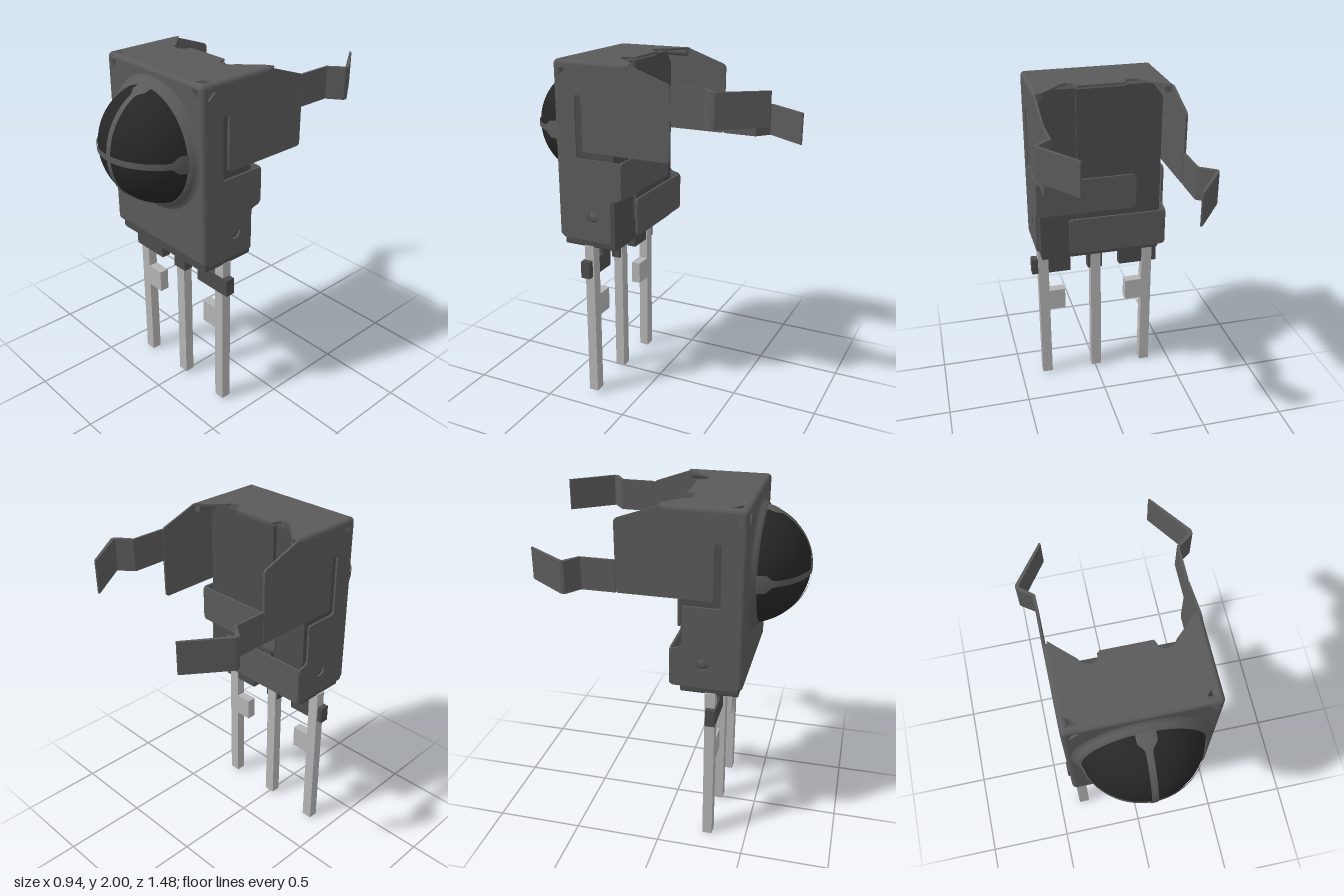
import * as THREE from 'three';

const mat = (color) => new THREE.MeshStandardMaterial({ color, side: THREE.DoubleSide });
const T = 0.012; // sheet thickness

// Closed outline with softened corners
function outline(pts, r = 0) {
  const P = pts.map(([x, y]) => new THREE.Vector2(x, y));
  const s = new THREE.Shape();
  P.forEach((p, i) => {
    const a = P[(i + P.length - 1) % P.length], b = P[(i + 1) % P.length];
    const toward = (q) => p.clone().lerp(q, Math.min(r / p.distanceTo(q), 0.45));
    const p0 = toward(a), p1 = toward(b);
    if (i === 0) s.moveTo(p0.x, p0.y); else s.lineTo(p0.x, p0.y);
    if (r) s.quadraticCurveTo(p.x, p.y, p1.x, p1.y);
  });
  s.closePath();
  return s;
}

// Small three-cornered opening with a curved inner side
function cornerHole(a, b, sa, sb, L = 0.06) {
  const h = new THREE.Path();
  h.moveTo(a, b);
  h.lineTo(a - sa * L, b);
  h.quadraticCurveTo(a - sa * L * 0.7, b - sb * L * 0.7, a, b - sb * L);
  h.closePath();
  return h;
}

const extrude = (shape, depth) =>
  new THREE.ExtrudeGeometry(shape, { depth, bevelEnabled: false, curveSegments: 5 });

export function createModel() {
  const root = new THREE.Group();
  const caseMat = mat(0x5a5a5a), bodyMat = mat(0x4c4c4c), domeMat = mat(0x262626), leadMat = mat(0xb4b4b4);

  const add = (name, geo, material = caseMat, parent = root) => {
    const m = new THREE.Mesh(geo, material);
    m.name = name;
    parent.add(m);
    return m;
  };
  // Box given by its extents
  const box = (name, x0, x1, y0, y1, z0, z1, material, parent) =>
    add(name, new THREE.BoxGeometry(x1 - x0, y1 - y0, z1 - z0)
      .translate((x0 + x1) / 2, (y0 + y1) / 2, (z0 + z1) / 2), material, parent);

  // Inner moulded body with chamfered upper corners
  const body = extrude(outline([[-0.36, 0.95], [0.36, 0.95], [0.36, 1.9], [0.3, 1.98], [-0.3, 1.98], [-0.36, 1.9]], 0.015), 0.32);
  add('body', body.translate(0, 0, 0.103), bodyMat);
  box('bodyBackRib', -0.14, 0.14, 1.08, 1.98, 0.08, 0.11, bodyMat);

  // Shield
  const shield = new THREE.Group();
  shield.name = 'shield';
  root.add(shield);

  // Front panel
  const front = outline([[-0.36, 1.025], [0.36, 1.025], [0.36, 1.975], [-0.36, 1.975]]);
  for (const s of [-1, 1]) front.holes.push(cornerHole(s * 0.362 - s * 0.004, 1.973, s, 1));
  add('frontPanel', extrude(front, T).translate(0, 0, 0.45 - T), caseMat, shield);

  // Top panel, tapered at the rear with two relief notches
  const half = [[0.36, 0.425], [0.36, -0.02], [0.235, 0.1], [0.222, 0.125], [0.18, 0.138], [0.15, 0.125], [0.14, 0.1], [0.132, 0.08]];
  const top = outline([...half, ...half.map(([x, z]) => [-x, z]).reverse()].map(([x, z]) => [x, -z]));
  for (const s of [-1, 1]) top.holes.push(cornerHole(s * 0.358, -0.423, s, -1));
  add('topPanel', extrude(top, T).rotateX(-Math.PI / 2).translate(0, 2 - T, 0), caseMat, shield);

  // Rounded bends joining the panels
  const R = 0.025;
  const bend = (len) => new THREE.CylinderGeometry(R, R, len, 14);
  for (const y of [1.025, 1.975])
    add('frontBend', bend(0.72).rotateZ(Math.PI / 2).translate(0, y, 0.425), caseMat, shield);
  for (const s of [-1, 1]) {
    add('cornerBend', bend(0.95).translate(s * 0.36, 1.5, 0.425), caseMat, shield);
    add('topBend', bend(0.43).rotateX(Math.PI / 2).translate(s * 0.36, 1.975, 0.21), caseMat, shield);
    for (const y of [1.025, 1.975])
      add('bendCorner', new THREE.SphereGeometry(R, 14, 10).translate(s * 0.36, y, 0.425), caseMat, shield);
  }

  // Side panels with an L-shaped slot; the lower flange differs per side
  const upper = [[0.425, 1.0], [0.425, 1.975], [0.03, 1.975], [0, 1.995], [-0.24, 1.91], [-0.24, 1.51],
    [0.28, 1.51], [0.28, 1.82], [0.32, 1.82], [0.32, 1.47]];
  const flange = {
    1: [[0.05, 1.47], [0.05, 1.26], [0.115, 1.245], [0.115, 1.0]],
    [-1]: [[0.115, 1.47], [0.115, 1.235], [0.05, 1.22], [0.05, 1.0]],
  };
  for (const s of [-1, 1]) {
    const side = outline([...upper, ...flange[s]], 0.02);
    side.holes.push(cornerHole(0.423, 1.973, 1, 1));
    const dimple = new THREE.Path();
    dimple.absarc(0.23, 1.14, 0.034, 0, Math.PI * 2);
    side.holes.push(dimple);
    const name = s > 0 ? 'left' : 'right';
    add(name + 'SidePanel', extrude(side, T).rotateY(-Math.PI / 2).translate(s > 0 ? 0.385 : -0.385 + T, 0, 0), caseMat, shield);
    add(name + 'Dimple', new THREE.SphereGeometry(0.034, 16, 10).scale(0.4, 1, 1).translate(s * 0.36, 1.14, 0.23), caseMat, shield);

    // Bent spring arm, high on the left and low on the right
    const arm = outline([[0.385, -0.24], [0.385, -0.43], [0.468, -0.49], [0.468, -0.515], [0.3, -0.742],
      [0.29, -0.735], [0.452, -0.505], [0.373, -0.44], [0.373, -0.24]].map(([x, z]) => [s * x, -z]), 0.006);
    add(name + 'SpringArm', extrude(arm, 0.18).rotateX(-Math.PI / 2).translate(0, s > 0 ? 1.73 : 1.51, 0), caseMat, shield);

    // Tab folded across the back
    const [y0, y1] = s > 0 ? [1.26, 1.47] : [1.0, 1.22];
    const tab = outline([[s * 0.383, y0], [s * 0.383, y1], [-s * 0.2, y1], [-s * 0.2, y0]], 0.025);
    add(name + 'BackTab', extrude(tab, T).translate(0, 0, 0.046), caseMat, shield);
  }

  // Dome lens with lip and crossed guard strips
  const lens = new THREE.Group();
  lens.name = 'lens';
  lens.position.set(0, 1.598, 0.41);
  root.add(lens);
  add('dome', new THREE.SphereGeometry(0.325, 48, 20, 0, Math.PI * 2, 0, Math.PI / 2).rotateX(Math.PI / 2), domeMat, lens);
  const lip = [[0.368, 0.038], [0.35, 0.045], [0.338, 0.056], [0.331, 0.072], [0.316, 0.08]].map(([r, y]) => new THREE.Vector2(r, y));
  add('lensLip', new THREE.LatheGeometry(lip, 48).rotateX(Math.PI / 2), caseMat, lens);
  for (const turn of [0, Math.PI / 2]) {
    const strip = new THREE.PlaneGeometry(1, 2, 64, 4);
    const p = strip.attributes.position, v = new THREE.Vector3();
    for (let i = 0; i < p.count; i++) {
      const t = (p.getX(i) + 0.5) * Math.PI;
      const depth = 0.332 * Math.sin(t);
      const w = THREE.MathUtils.lerp(0.05, 0.017, THREE.MathUtils.smoothstep(depth, 0.12, 0.165));
      v.set(0.332 * Math.cos(t), p.getY(i) * w, depth).setLength(0.332);
      p.setXYZ(i, v.x, v.y, v.z);
    }
    // Outward-facing winding
    strip.index.array.reverse();
    strip.computeVertexNormals();
    add('guardStrip', strip.rotateZ(turn), caseMat, lens).material = caseMat;
  }

  // Leads with side stubs and the dark cross pieces above them
  const leads = new THREE.Group();
  leads.name = 'leads';
  root.add(leads);
  for (const x of [-0.337, -0.003, 0.33])
    box('lead', x - 0.032, x + 0.032, x < -0.1 ? 0 : 0.015, 0.96, 0.243, 0.3, leadMat, leads);
  box('centerCrossPiece', -0.047, 0.045, 0.77, 0.87, 0.252, 0.307, bodyMat, leads);
  box('centerNeck', -0.02, 0.02, 0.86, 0.96, 0.252, 0.307, bodyMat, leads);
  for (const s of [-1, 1]) {
    const span = (name, a, b, y0, y1, z0, z1, m) =>
      box(name, Math.min(s * a, s * b), Math.max(s * a, s * b), y0, y1, z0, z1, m, leads);
    span('leadStub', 0.198, 0.31, 0.505, 0.64, 0.243, 0.3, leadMat);
    span('crossPiece', 0.158, 0.4, 0.77, 0.87, 0.252, 0.307, bodyMat);
    span('crossPieceNeck', 0.18, 0.242, 0.86, 0.96, 0.252, 0.307, bodyMat);
  }
  return root;
}
